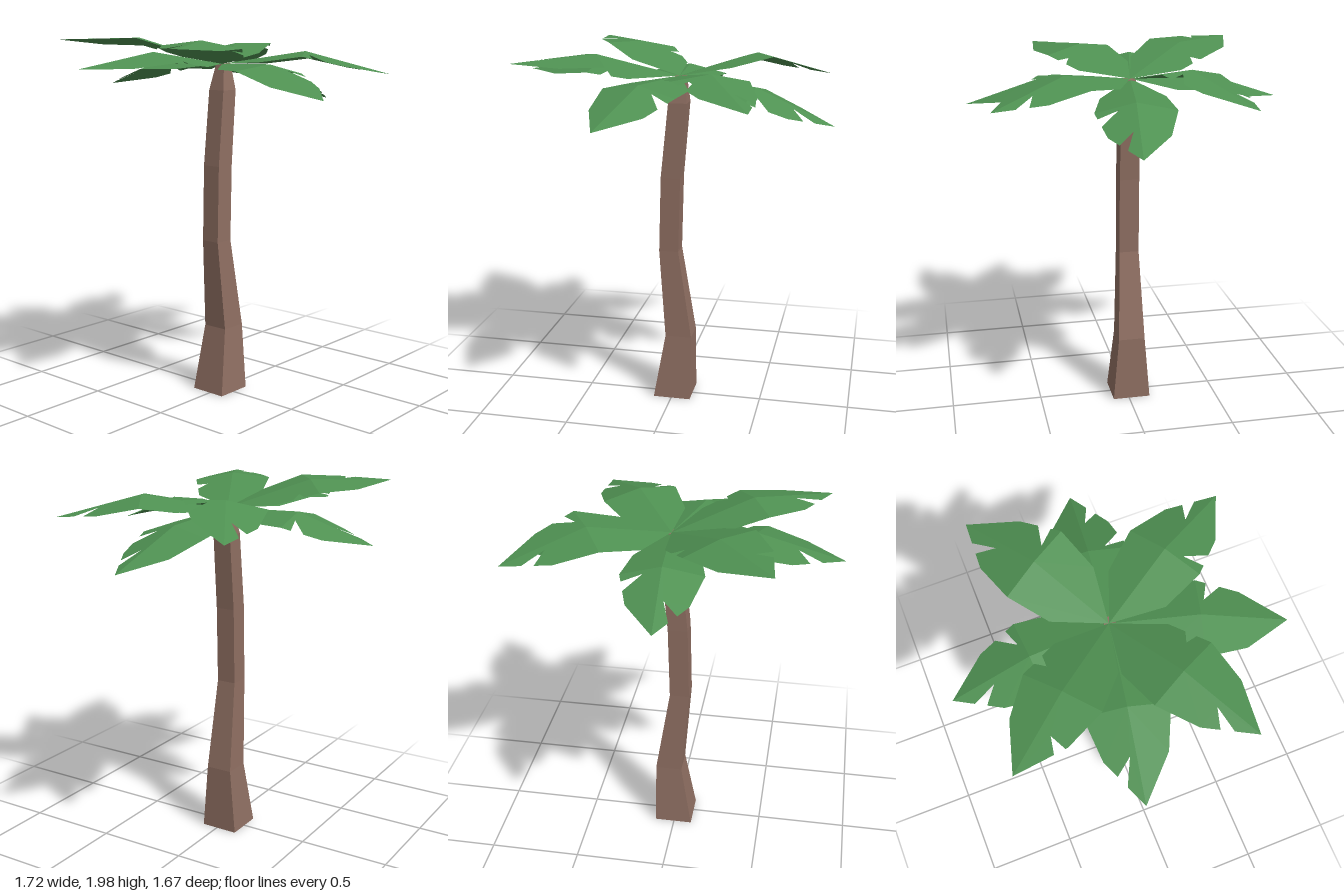
import * as THREE from 'three';

const barkBrown = new THREE.MeshStandardMaterial({ color: 0x8f6f62, flatShading: true });
const leafGreen = new THREE.MeshStandardMaterial({ color: 0x4f9152, flatShading: true, side: THREE.DoubleSide });

// Crown centre where every frond starts
const BASE = new THREE.Vector3(0.025, 1.84, -0.02);

// Square trunk sections: y, centre x, half width
const SECTIONS = [
  [0, 0.003, 0.105], [0.37, 0.035, 0.074], [0.87, -0.024, 0.054],
  [1.29, -0.014, 0.054], [1.7, 0.024, 0.051], [1.84, 0.032, 0.028],
];

// Half outline shared by all fronds: fraction of the length, width from the midrib
const OUTLINE = [[0, 0], [0.25, 0.17], [0.5, 0.207], [0.745, 0.152], [1, 0]];

// Tears in the edge: where they start, their inner corner, where they end
const INNER = { start: 0.35, corner: [0.4, 0.135], end: 0.415 };
const MIDDLE = { start: 0.56, corner: [0.53, 0.09], end: 0.635 };
const SHOULDER = { start: 0.757, corner: [0.733, 0.058], end: 0.81 };
const OUTER = { start: 0.83, corner: [0.745, 0.03], end: 0.89 };

// Fronds: tip, ridge height halfway out, then droop slope and tears per side
const FRONDS = [
  { name: 'upperFrondBackLeft', tip: [0.80, 1.81, -0.48], ridge: 1.945, drop: [0.22, 0], left: [OUTER], right: [MIDDLE] },
  { name: 'upperFrondBackRight', tip: [-0.55, 1.97, -0.70], ridge: 1.98, drop: [0, 0.22], left: [SHOULDER], right: [INNER] },
  { name: 'upperFrondFrontRight', tip: [-0.77, 1.935, 0.40], ridge: 1.97, drop: [0.2, 0.12], left: [INNER], right: [OUTER] },
  { name: 'upperFrondFrontLeft', tip: [0.50, 1.79, 0.75], ridge: 1.91, drop: [0.22, 0.12], left: [OUTER], right: [MIDDLE] },
  { name: 'lowerFrondBack', tip: [-0.02, 1.71, -0.84], ridge: 1.85, drop: [0.2, 0.25], left: [OUTER], right: [MIDDLE] },
  { name: 'lowerFrondRight', tip: [-0.86, 1.83, -0.19], ridge: 1.91, drop: [0.25, 0.2], left: [INNER], right: [OUTER] },
  { name: 'lowerFrondFront', tip: [-0.22, 1.69, 0.83], ridge: 1.85, drop: [0.25, 0.15], left: [MIDDLE], right: [] },
  { name: 'lowerFrondLeft', tip: [0.86, 1.62, 0.09], ridge: 1.80, drop: [0.2, 0.25], left: [], right: [MIDDLE, OUTER] },
];

// A box with rings moved onto the trunk sections
function makeTrunk() {
  const rings = SECTIONS.length - 1;
  const geometry = new THREE.BoxGeometry(2, 1, 2, 1, rings, 1).toNonIndexed();
  const p = geometry.attributes.position;
  for (let i = 0; i < p.count; i++) {
    const [y, x, half] = SECTIONS[Math.round((p.getY(i) + 0.5) * rings)];
    p.setXYZ(i, x + p.getX(i) * half, y, -0.015 + p.getZ(i) * half);
  }
  geometry.computeVertexNormals();
  const mesh = new THREE.Mesh(geometry, barkBrown);
  mesh.name = 'trunk';
  return mesh;
}

// Width of the untorn outline at a fraction of the length
function widthAt(t) {
  const i = OUTLINE.findIndex(([end]) => end >= t);
  const [t0, w0] = OUTLINE[i - 1], [t1, w1] = OUTLINE[i];
  return THREE.MathUtils.mapLinear(t, t0, t1, w0, w1);
}

// Half outline with its tears cut in
function tornEdge(tears) {
  return tears.reduce((edge, { start, corner, end }) => [
    ...edge.filter(([t]) => t < start),
    [start, widthAt(start)], corner, [end, widthAt(end)],
    ...edge.filter(([t]) => t > end),
  ], OUTLINE);
}

// A leaf folded along its midrib, with each half bent at the halfway point
function makeFrond({ name, tip, ridge, drop, left, right }) {
  const reach = new THREE.Vector3(...tip).sub(BASE).setY(0);
  const sideways = new THREE.Vector3(reach.z, 0, -reach.x).normalize();
  const positions = [];

  // Point on the leaf; positive width lies to the left of the midrib
  const place = (t, width, slope) => {
    const y = t < 0.5
      ? THREE.MathUtils.lerp(BASE.y, ridge, t * 2)
      : THREE.MathUtils.lerp(ridge, tip[1], t * 2 - 1);
    return BASE.clone().addScaledVector(reach, t).addScaledVector(sideways, width)
      .setY(y - slope * Math.abs(width));
  };

  const addPanel = (points, sign) => {
    const flat = points.map((v) => new THREE.Vector2(v.x, v.z));
    for (const face of THREE.ShapeUtils.triangulateShape(flat, [])) {
      const [a, b, c] = face.map((i) => points[i]);
      const up = new THREE.Vector3().crossVectors(b.clone().sub(a), c.clone().sub(a)).y > 0;
      for (const v of up ? [a, b, c] : [a, c, b]) positions.push(v.x, v.y, v.z);
    }
  };

  [left, right].forEach((tears, side) => {
    const edge = tornEdge(tears);
    const points = edge.map(([t, w]) => place(t, side ? -w : w, drop[side]));
    const bend = edge.findIndex(([t]) => t === 0.5);
    const middle = place(0.5, 0, 0);
    addPanel([...points.slice(0, bend + 1), middle]);
    addPanel([middle, ...points.slice(bend)]);
  });

  const geometry = new THREE.BufferGeometry();
  geometry.setAttribute('position', new THREE.Float32BufferAttribute(positions, 3));
  geometry.computeVertexNormals();
  const mesh = new THREE.Mesh(geometry, leafGreen);
  mesh.name = name;
  return mesh;
}

export function createModel() {
  const model = new THREE.Group();
  model.name = 'palmTree';
  const crown = new THREE.Group();
  crown.name = 'crown';
  FRONDS.forEach((frond) => crown.add(makeFrond(frond)));
  model.add(makeTrunk(), crown);
  return model;
}
